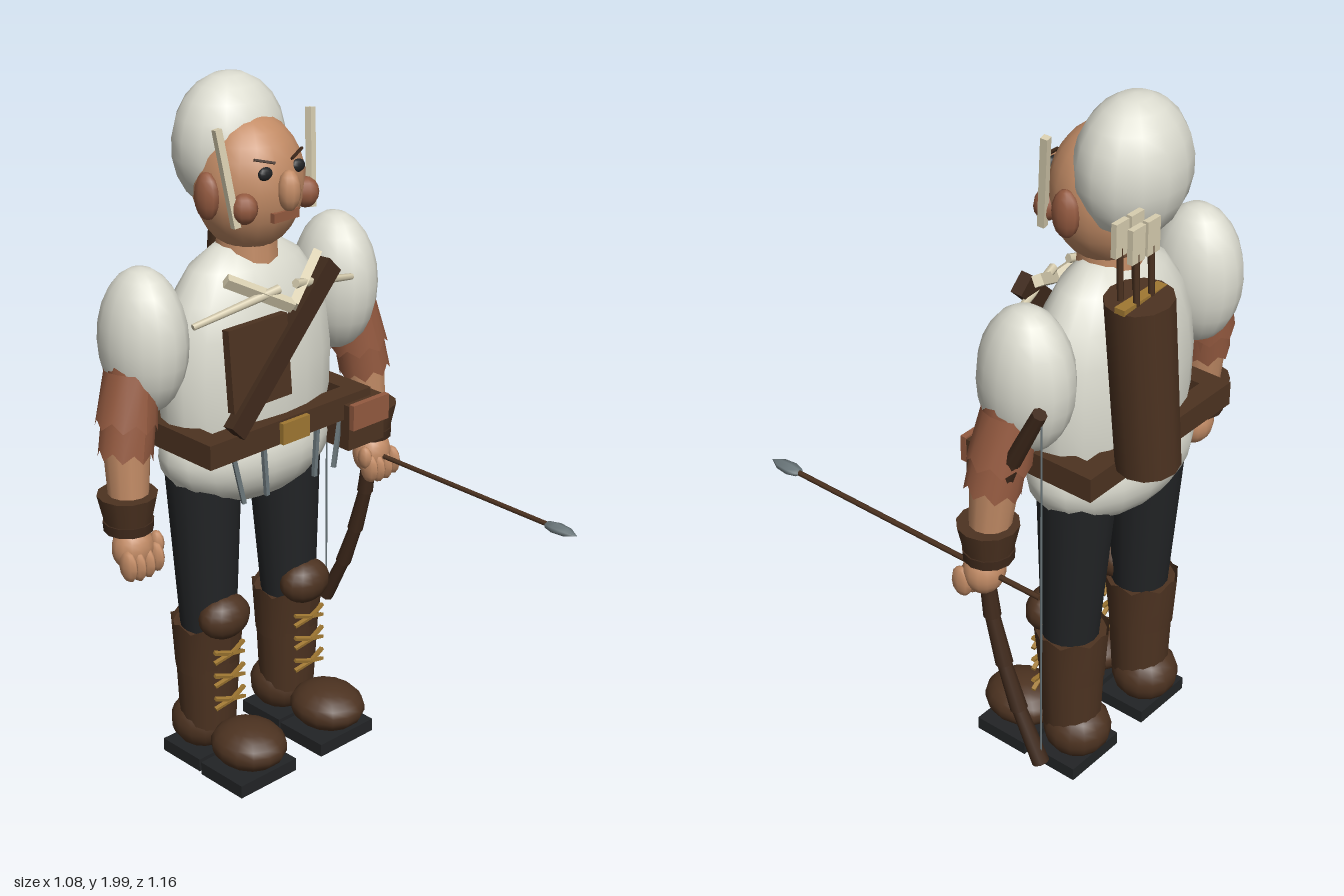
import * as THREE from 'three';

const mat = (name, color) => {
  const m = new THREE.MeshStandardMaterial({ color, side: THREE.DoubleSide });
  m.name = name;
  return m;
};
const V = (p) => new THREE.Vector3(...p);

export function createModel() {
  const root = new THREE.Group();
  root.name = 'archer';
  const white = mat('white cloth', 0xdcdcd0), skin = mat('skin', 0xc38c66);
  const brown = mat('brown leather', 0x4d3321), rust = mat('rust leather', 0x945a40);
  const dark = mat('dark brown', 0x3f291b), black = mat('black', 0x222426);
  const gold = mat('gold', 0xa07832), cream = mat('cream', 0xd8ceb0), steel = mat('steel', 0x6c787c);

  const add = (name, geo, m, pos = [0, 0, 0], parent = root) => {
    const mesh = new THREE.Mesh(geo, m);
    mesh.name = name;
    mesh.position.set(...pos);
    parent.add(mesh);
    return mesh;
  };
  const ball = (name, m, pos, r, parent, seg = 14) =>
    add(name, new THREE.SphereGeometry(1, seg, Math.round(seg * 0.75)).scale(...r), m, pos, parent);
  const box = (name, m, pos, size, parent) => add(name, new THREE.BoxGeometry(...size), m, pos, parent);
  // Place a y-aligned geometry between two points
  const between = (name, geo, m, a, b, parent) => {
    const p = V(a), q = V(b);
    const mesh = add(name, geo, m, p.clone().add(q).multiplyScalar(0.5).toArray(), parent);
    mesh.quaternion.setFromUnitVectors(new THREE.Vector3(0, 1, 0), q.sub(p).normalize());
    return mesh;
  };
  const dist = (a, b) => V(a).distanceTo(V(b));
  const rod = (name, m, a, b, ra, rb = ra, parent = root, seg = 12) =>
    between(name, new THREE.CylinderGeometry(rb, ra, dist(a, b), seg), m, a, b, parent);
  const bar = (name, m, a, b, w, t, parent) =>
    between(name, new THREE.BoxGeometry(w, dist(a, b), t), m, a, b, parent);
  // Sleeve whose chosen rim (sign of y) is cut into ragged points
  const ragged = (name, m, a, b, ra, rb, cut, rim, parent) => {
    const geo = new THREE.CylinderGeometry(rb, ra, dist(a, b), 16, 1, true);
    const p = geo.attributes.position;
    for (let i = 0; i < p.count; i++) {
      if (p.getY(i) * rim > 0 && (i % 17) % 2) p.setY(i, p.getY(i) - rim * cut);
    }
    geo.computeVertexNormals();
    return between(name, geo, m, a, b, parent);
  };

  // Torso and hanging shirt
  const profile = [[0.26, 1.0], [0.283, 1.1], [0.287, 1.22], [0.272, 1.33], [0.238, 1.42], [0.18, 1.5], [0.1, 1.55], [0, 1.56]];
  add('torso', new THREE.LatheGeometry(profile.map((p) => new THREE.Vector2(...p)), 20).scale(1, 1, 0.57), white, [0, 0, -0.25]);
  ball('shirtHem', white, [0, 0.97, -0.255], [0.285, 0.17, 0.182], root, 18);

  // Head
  rod('neck', skin, [0, 1.48, -0.24], [0, 1.62, -0.24], 0.09, 0.08);
  ball('face', skin, [0, 1.72, -0.23], [0.155, 0.188, 0.15], root, 18);
  ball('hair', white, [0, 1.81, -0.305], [0.167, 0.19, 0.14]);
  ball('nose', skin, [0, 1.725, -0.072], [0.032, 0.056, 0.032], root, 10);
  box('mouth', rust, [0, 1.655, -0.088], [0.09, 0.026, 0.014]);
  for (const s of [-1, 1]) {
    ball('ear', rust, [s * 0.155, 1.71, -0.22], [0.03, 0.065, 0.04], root, 10);
    ball('cheek', rust, [s * 0.11, 1.687, -0.125], [0.037, 0.042, 0.036], root, 10);
    ball('eye', black, [s * 0.058, 1.775, -0.1], [0.024, 0.018, 0.012], root, 10);
    bar('brow', dark, [s * 0.03, 1.8, -0.093], [s * 0.085, 1.815, -0.113], 0.006, 0.008);
    bar('hairStrand', cream, [s * 0.165, 1.9, -0.165], [s * 0.135, 1.64, -0.13], 0.02, 0.02);
    // Collar
    bar('collarFlap', cream, [s * 0.165, 1.5, -0.14], [0, 1.41, -0.06], 0.03, 0.025);
    rod('collarPin', cream, [s * 0.29, 1.405, -0.13], [s * 0.03, 1.46, -0.08], 0.009, 0.013, root, 6);
  }

  // Belt frame with buckle, pouch and hanging thongs
  for (const z of [-0.09, -0.395]) box('belt', brown, [0, 1.057, z], [0.6, 0.07, 0.06]);
  for (const s of [-1, 1]) {
    box('beltSide', brown, [s * 0.27, 1.057, -0.243], [0.06, 0.07, 0.25]);
    bar('thong', steel, [s * 0.2, 1.02, -0.08], [s * 0.17, 0.88, -0.075], 0.012, 0.012);
    bar('thong', steel, [s * 0.1, 1.02, -0.07], [s * 0.09, 0.88, -0.07], 0.012, 0.012);
  }
  box('buckle', gold, [0, 1.055, -0.055], [0.1, 0.062, 0.02]);
  box('pouch', brown, [0.265, 1.0, -0.085], [0.14, 0.135, 0.09]);
  box('pouchFlap', rust, [0.267, 1.035, -0.032], [0.14, 0.075, 0.018]);

  // Chest patch and shoulder strap
  const patch = box('chestPatch', brown, [-0.105, 1.27, -0.085], [0.21, 0.23, 0.025]);
  patch.rotation.x = -0.08;
  bar('strap', dark, [-0.215, 1.105, -0.06], [0.175, 1.48, -0.095], 0.06, 0.035);

  // Arms, built for +x and mirrored by sign
  for (const s of [-1, 1]) {
    const arm = new THREE.Group();
    arm.name = s > 0 ? 'leftArm' : 'rightArm';
    root.add(arm);
    ball('puffSleeve', white, [s * 0.352, 1.35, -0.26], [0.113, 0.203, 0.134], arm, 16);
    ragged('upperCuff', rust, [s * 0.435, 1.13, -0.24], [s * 0.405, 1.28, -0.25], 0.084, 0.072, 0.025, -1, arm);
    ragged('lowerCuff', rust, [s * 0.45, 1.05, -0.23], [s * 0.42, 1.2, -0.24], 0.074, 0.072, 0.025, -1, arm);
    rod('elbow', rust, [s * 0.435, 1.09, -0.235], [s * 0.39, 1.3, -0.25], 0.065, 0.07, arm);
    rod('forearm', skin, [s * 0.456, 0.86, -0.215], [s * 0.44, 1.13, -0.235], 0.05, 0.067, arm);
    rod('bracer', brown, [s * 0.456, 0.87, -0.22], [s * 0.456, 0.955, -0.22], 0.064, 0.083, arm);
    rod('bracerBand', dark, [s * 0.456, 0.85, -0.22], [s * 0.456, 0.878, -0.22], 0.068, 0.07, arm);
    ball('hand', skin, [s * 0.456, 0.8, -0.205], [0.06, 0.068, 0.055], arm);
    for (let i = 0; i < 4; i++) {
      ball('finger', skin, [s * 0.456 + (i - 1.5) * 0.031, 0.77 - (i % 3 ? 0.008 : 0), -0.168], [0.018, 0.045, 0.034], arm, 8);
    }
    ball('thumb', skin, [s * 0.398, 0.805, -0.175], [0.018, 0.035, 0.025], arm, 8);
  }

  // Legs and boots
  for (const s of [-1, 1]) {
    const x = s * 0.157, leg = new THREE.Group();
    leg.name = s > 0 ? 'leftLeg' : 'rightLeg';
    root.add(leg);
    rod('trouserLeg', black, [x, 0.42, -0.25], [s * 0.152, 0.93, -0.265], 0.08, 0.109, leg, 16);
    ball('kneePad', brown, [x, 0.485, -0.18], [0.083, 0.066, 0.06], leg);
    ragged('bootCuff', brown, [x, 0.3, -0.26], [x, 0.465, -0.255], 0.092, 0.105, 0.02, 1, leg);
    rod('bootShaft', brown, [x, 0.12, -0.26], [x, 0.44, -0.255], 0.082, 0.098, leg, 16);
    ball('heel', brown, [x, 0.11, -0.28], [0.097, 0.085, 0.097], leg);
    ball('toe', brown, [x, 0.108, -0.083], [0.105, 0.067, 0.118], leg);
    box('frontSole', black, [x, 0.027, -0.086], [0.212, 0.04, 0.174], leg);
    box('heelSole', black, [x, 0.027, -0.267], [0.2, 0.04, 0.16], leg);
    for (const y of [0.225, 0.3, 0.375]) {
      for (const k of [-1, 1]) {
        bar('lace', gold, [x - 0.055, y - k * 0.017, -0.163], [x, y, -0.152], 0.009, 0.012, leg);
        bar('lace', gold, [x, y, -0.152], [x + 0.055, y + k * 0.017, -0.163], 0.009, 0.012, leg);
      }
    }
  }

  // Quiver with arrows
  rod('quiver', brown, [0.155, 1.1, -0.493], [0.195, 1.59, -0.48], 0.085, 0.088);
  box('quiverTrim', gold, [0.198, 1.59, -0.487], [0.167, 0.016, 0.03]);
  for (const x of [0.178, 0.236]) {
    for (const z of [-0.449, -0.497]) {
      rod('quiverArrow', brown, [x - 0.012, 1.5, z], [x, 1.73, z], 0.009, 0.009, root, 6);
      box('fletching', cream, [x, 1.755, z], [0.048, 0.09, 0.016]);
    }
  }

  // Bow: tapering segments in the plane of the left hand
  const bow = [[1.35, -0.39], [1.18, -0.305], [1.0, -0.24], [0.8, -0.21], [0.66, -0.23], [0.52, -0.27], [0.39, -0.32], [0.245, -0.395]];
  for (let i = 0; i < bow.length - 1; i++) {
    const [a, b] = [bow[i], bow[i + 1]].map(([y, z]) => [0.456, y, z]);
    rod('bowLimb', dark, a, b, 0.02, 0.024, root, 8);
  }
  rod('bowString', steel, [0.456, 1.33, -0.395], [0.456, 0.25, -0.395], 0.003, 0.003, root, 5);

  // Held arrow
  rod('arrowShaft', brown, [0.456, 0.798, -0.39], [0.456, 0.798, 0.48], 0.008, 0.008, root, 6);
  const tip = [[0, 0], [0.016, 0.01], [0.024, 0.04], [0.02, 0.08], [0, 0.115]].map((p) => new THREE.Vector2(...p));
  add('arrowHead', new THREE.LatheGeometry(tip, 6).scale(1, 1, 0.6).rotateX(Math.PI / 2), steel, [0.456, 0.798, 0.465]);

  return root;
}
